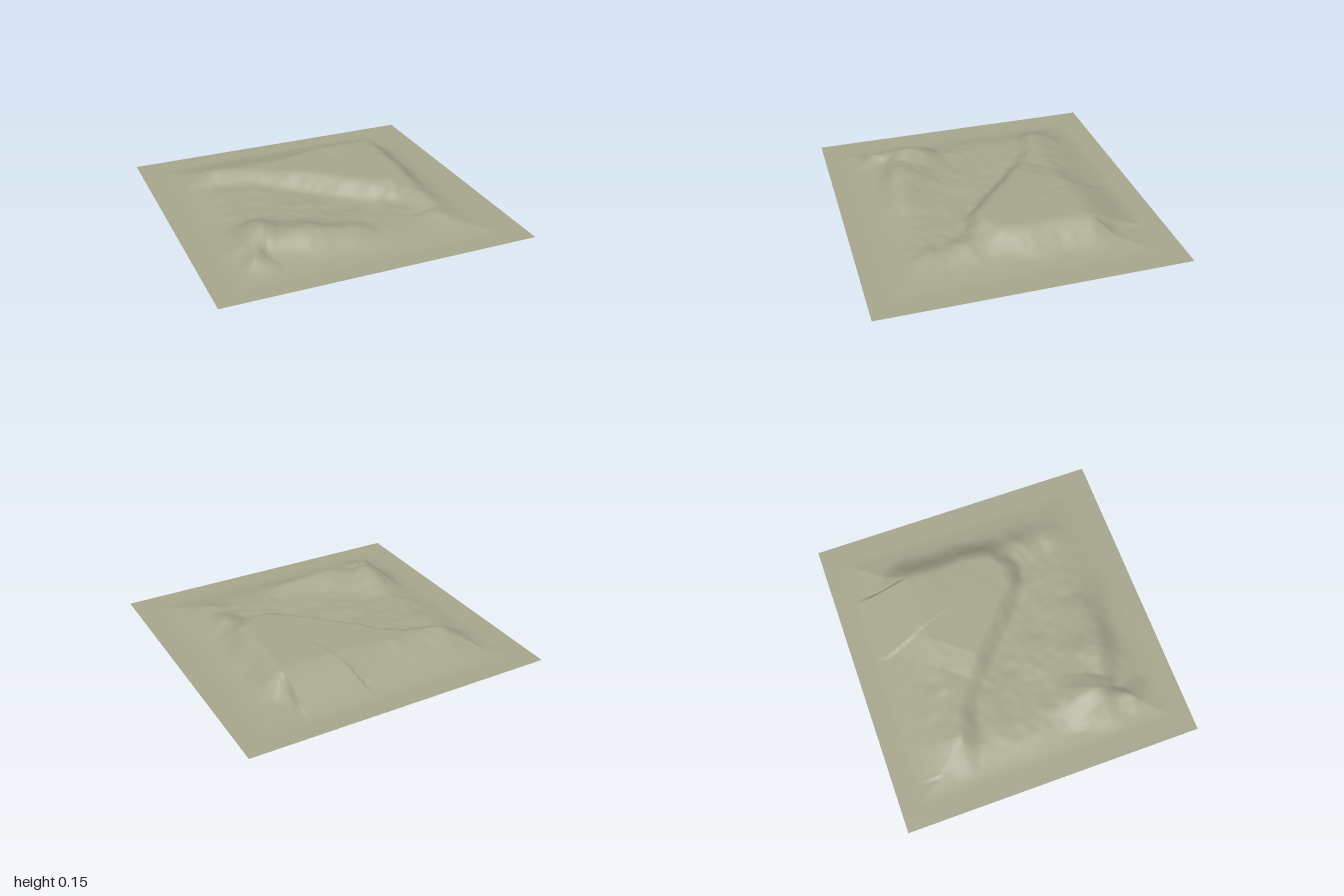
import * as THREE from 'three';

const HALF_DEPTH = 0.965;
const clamp01 = (t) => Math.min(1, Math.max(0, t));
// 0 at a, 1 at b, smooth in between (a may exceed b)
const ramp = (a, b, v) => { const t = clamp01((v - a) / (b - a)); return t * t * (3 - 2 * t); };

// Crest lines as [x, z, height]
const PLATEAU = [
  [-0.74, -0.50, 0.07], [-0.56, -0.48, 0.115], [-0.36, -0.42, 0.105], [-0.2, -0.32, 0.108],
  [-0.07, -0.22, 0.138], [0.15, -0.01, 0.144], [0.33, 0.13, 0.145], [0.42, 0.15, 0.145],
  [0.51, 0.07, 0.145], [0.55, -0.08, 0.145], [0.53, -0.24, 0.144], [0.56, -0.45, 0.144],
];
const FRONT_HILL = [
  [-0.76, 0.46, 0.09], [-0.66, 0.44, 0.13], [-0.56, 0.43, 0.142], [-0.47, 0.47, 0.108],
  [-0.3, 0.55, 0.126], [-0.12, 0.6, 0.1], [0.08, 0.66, 0.065], [0.3, 0.7, 0.035],
];
const FOOTHILL = [[-0.66, 0.52, 0.1], [-0.68, 0.64, 0.095], [-0.62, 0.72, 0.08]];
const EAST_SPUR = [[0.5, 0.12, 0.1], [0.58, 0.3, 0.085], [0.6, 0.48, 0.06], [0.55, 0.64, 0.045]];

// Distance to a crest line and the crest height at the nearest point
function nearest(line, x, z) {
  let best = { d: Infinity, h: 0 };
  for (let i = 0; i < line.length - 1; i++) {
    const [ax, az, ah] = line[i], [bx, bz, bh] = line[i + 1];
    const dx = bx - ax, dz = bz - az;
    const t = clamp01(((x - ax) * dx + (z - az) * dz) / (dx * dx + dz * dz));
    const d = Math.hypot(x - ax - dx * t, z - az - dz * t);
    if (d < best.d) best = { d, h: ah + (bh - ah) * t };
  }
  return best;
}

// Is the point on the far (back) side of a crest line, closed behind the back edge?
function behind(line, x, z) {
  const poly = [...line, [line.at(-1)[0], -2], [line[0][0], -2]];
  let inside = false;
  for (let i = 0, j = poly.length - 1; i < poly.length; j = i++) {
    const [ax, az] = poly[i], [bx, bz] = poly[j];
    if ((az > z) !== (bz > z) && x < ((bx - ax) * (z - az)) / (bz - az) + ax) inside = !inside;
  }
  return inside;
}

// Ridge with different slope widths behind and in front of its crest
function ridge(line, x, z, back, front) {
  const { d, h } = nearest(line, x, z);
  return h * (1 - ramp(0, behind(line, x, z) ? back : front, d));
}

// Seeded value noise for the weathering
function hash(i, j) {
  let n = Math.imul(i, 374761393) + Math.imul(j, 668265263);
  n = Math.imul(n ^ (n >>> 13), 1274126177);
  return ((n ^ (n >>> 16)) >>> 0) / 4294967295;
}
function noise(x, z) {
  const i = Math.floor(x), j = Math.floor(z);
  const u = ramp(0, 1, x - i), v = ramp(0, 1, z - j);
  const a = hash(i, j) * (1 - u) + hash(i + 1, j) * u;
  const b = hash(i, j + 1) * (1 - u) + hash(i + 1, j + 1) * u;
  return (a * (1 - v) + b * v) * 2 - 1;
}

function height(x, z) {
  // everything fades to the flat border
  const fade = Math.min(
    x < 0 ? ramp(-0.87, -0.56, x) : ramp(0.88, 0.52, x),
    z < 0 ? ramp(-0.85, -0.43, z) : ramp(0.86, 0.52, z),
  );
  if (fade === 0) return 0;
  const p = nearest(PLATEAU, x, z);
  const cliff = x > 0.45 ? 0.2 + 0.1 * ramp(0.45, 0.6, x) : 0.2;
  const plateau = behind(PLATEAU, x, z) ? p.h : p.h * (1 - ramp(0, cliff, p.d));
  const parts = [
    plateau,
    ridge(FRONT_HILL, x, z, 0.4, 0.24),
    ridge(FOOTHILL, x, z, 0.16, 0.16),
    ridge(EAST_SPUR, x, z, 0.3, 0.3),
    0.045, // valley floor
  ];
  const top = Math.pow(parts.reduce((s, h) => s + h ** 5, 0), 0.2);
  // gullies are weaker on the flat plateau top
  const rough = plateau > 0.14 && p.d > 0.03 ? 0.35 : 1;
  const wear = 0.006 * noise(x * 7 + 3, z * 9 + 5) + 0.003 * noise(x * 17, z * 19);
  return Math.max(0, fade * (Math.min(top, 0.146) + wear * rough * ramp(0.146, 0.11, top)
    + wear * 0.15));
}

export function createModel() {
  const group = new THREE.Group();
  group.name = 'landscape';

  // Ground sheet raised by the height rule
  const geometry = new THREE.PlaneGeometry(2, HALF_DEPTH * 2, 180, 174);
  geometry.rotateX(-Math.PI / 2);
  const pos = geometry.attributes.position;
  for (let i = 0; i < pos.count; i++) pos.setY(i, height(pos.getX(i), pos.getZ(i)));
  geometry.computeVertexNormals();

  const material = new THREE.MeshStandardMaterial({ color: 0xa6a68e, side: THREE.DoubleSide });
  const terrain = new THREE.Mesh(geometry, material);
  terrain.name = 'terrain';
  group.add(terrain);
  return group;
}
